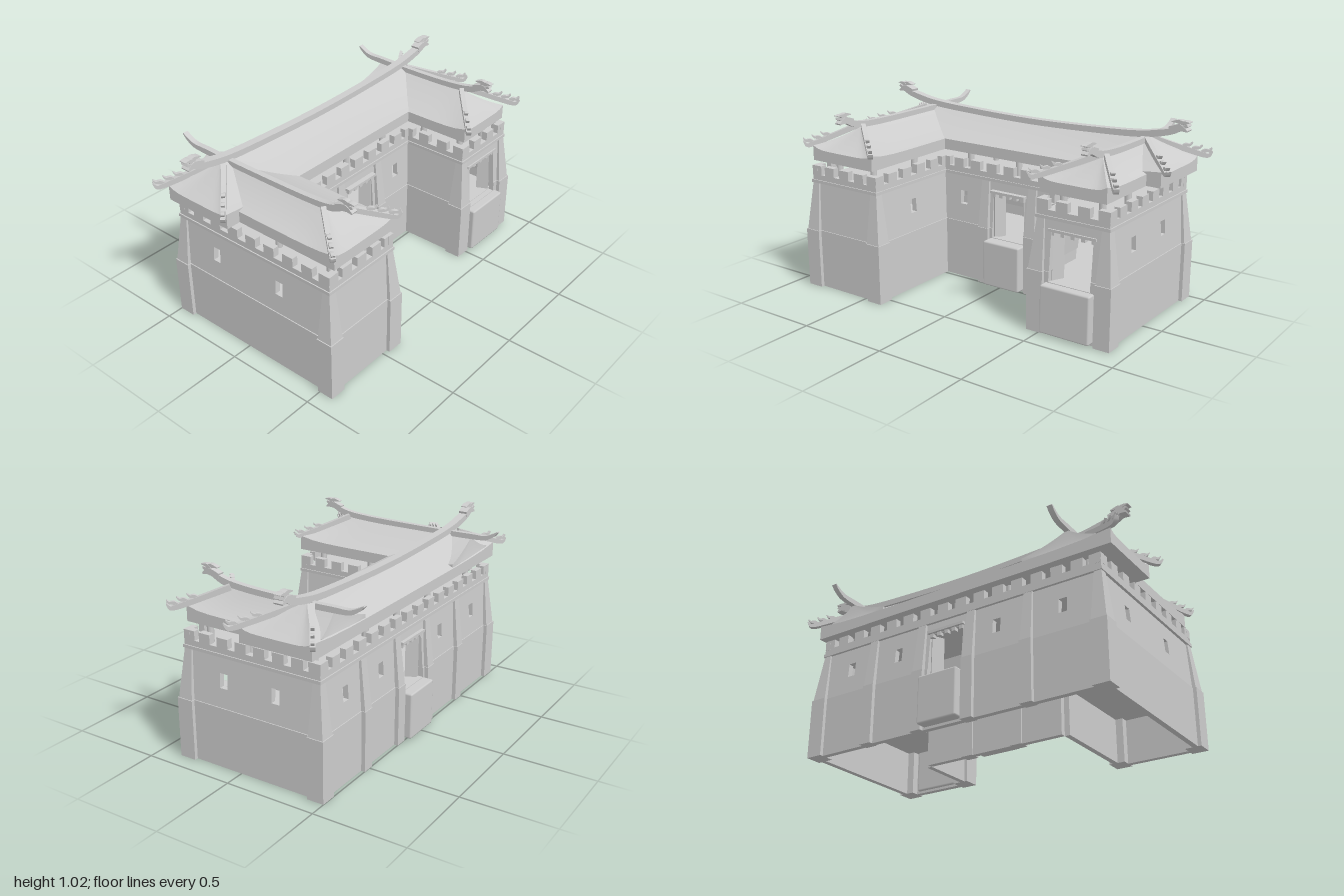
import * as THREE from 'three';
import { toCreasedNormals } from 'three/addons/utils/BufferGeometryUtils.js';
import { RoundedBoxGeometry } from 'three/addons/geometries/RoundedBoxGeometry.js';

const stone = new THREE.MeshStandardMaterial({ color: 0xcccccc });
stone.name = 'pale stone';
const V = (x, y, z) => new THREE.Vector3(x, y, z);
const lerp = THREE.MathUtils.lerp;

// U-shaped plan as [x, z] corners, inset by d
const outline = d => [
  [-0.89 + d, -0.48 + d], [0.89 - d, -0.48 + d], [0.89 - d, 0.355 - d], [0.445 + d, 0.355 - d],
  [0.445 + d, -0.02 - d], [-0.395 - d, -0.02 - d], [-0.395 - d, 0.56 - d], [-0.89 + d, 0.56 - d]];

// skin over closed rings of equal length
function loft(rows) {
  const n = rows[0].length, pos = [], idx = [];
  rows.forEach(r => r.forEach(p => pos.push(p.x, p.y, p.z)));
  for (let r = 0; r < rows.length - 1; r++) for (let i = 0; i < n; i++) {
    const j = (i + 1) % n, a = r * n + i, b = r * n + j;
    idx.push(a, a + n, b, b, a + n, b + n);
  }
  const g = new THREE.BufferGeometry();
  g.setAttribute('position', new THREE.Float32BufferAttribute(pos, 3));
  g.setIndex(idx);
  return toCreasedNormals(g, 0.6);
}

// rectangular bar of width w along points [x, y, z, height]
function sweep(pts, w, steps = 4) {
  const m = pts.length - 1, n = m * steps;
  const curve = new THREE.CatmullRomCurve3(pts.map(p => V(p[0], p[1], p[2])));
  const d = V(pts[m][0] - pts[0][0], 0, pts[m][2] - pts[0][2]).normalize();
  const side = d.cross(V(0, 1, 0)), rows = [];
  for (let k = 0; k <= n; k++) {
    const c = curve.getPoint(k / n), up = side.clone().cross(curve.getTangent(k / n)).normalize();
    const i = Math.min(m - 1, Math.floor(k / steps)), h = lerp(pts[i][3], pts[i + 1][3], k / steps - i);
    const ring = [[1, 1], [-1, 1], [-1, -1], [1, -1]].map(([s, u]) =>
      c.clone().addScaledVector(side, s * w / 2).addScaledVector(up, u * h / 2));
    if (k === 0) rows.push(ring.map(() => c));
    rows.push(ring);
    if (k === n) rows.push(ring.map(() => c));
  }
  return loft(rows);
}

// hollow or solid slab following the plan
function planSlab(d, y0, y1, inner) {
  const path = k => outline(k).map(([x, z]) => new THREE.Vector2(x, -z));
  const s = new THREE.Shape(path(d));
  if (inner) s.holes.push(new THREE.Path(path(inner)));
  return new THREE.ExtrudeGeometry(s, { depth: y1 - y0, bevelEnabled: false }).rotateX(-Math.PI / 2).translate(0, y0, 0);
}

// wall panel on plan edge i, leaning from inset d0 to d1, with windows and a door notch
function panel(i, y0, y1, d0, d1, windows, door, notchY) {
  const j = (i + 1) % 8, A = outline(0)[i], B = outline(0)[j];
  const L = Math.hypot(B[0] - A[0], B[1] - A[1]);
  const lx = V((A[0] - B[0]) / L, 0, (A[1] - B[1]) / L), n = V(-lx.z, 0, lx.x);
  const u = p => (p[0] - B[0]) * lx.x + (p[1] - B[1]) * lx.z;
  const along = c => lx.x ? (c - B[0]) * lx.x : (c - B[1]) * lx.z;
  const lo = outline(d0), hi = outline(d1);
  const notch = y => {
    if (!door) return [];
    const c = along(door[0]), h = door[1] / 2;
    return [[c - h, y], [c - h, notchY], [c + h, notchY], [c + h, y]];
  };
  const pts = [[u(lo[j]), y0], ...(notchY > y1 - 0.06 && notchY < y1 && y0 < 0.1 ? [] : notch(y0)), [u(lo[i]), y0],
    [u(hi[i]), y1], ...(y0 < 0.1 ? notch(y1).reverse() : []), [u(hi[j]), y1]];
  const s = new THREE.Shape(pts.map(p => new THREE.Vector2(p[0], p[1])));
  for (const c of windows) {
    const m = along(c), w = 0.023;
    s.holes.push(new THREE.Path([[m - w, 0.43], [m - w, 0.507], [m + w, 0.507], [m + w, 0.43]].map(p => new THREE.Vector2(...p))));
  }
  const g = new THREE.ExtrudeGeometry(s, { depth: 0.03, bevelEnabled: false }).translate(0, 0, -0.03);
  const p = g.attributes.position;
  for (let k = 0; k < p.count; k++) p.setZ(k, p.getZ(k) - lerp(d0, d1, (p.getY(k) - y0) / (y1 - y0)));
  g.applyMatrix4(new THREE.Matrix4().makeBasis(lx, V(0, 1, 0), n).setPosition(B[0], 0, B[1]));
  g.computeVertexNormals();
  return g;
}

// block between a lower and an upper rectangle [xa, xb, za, zb]
function frustum(lo, hi, y0, y1) {
  const g = new THREE.BoxGeometry(1, 1, 1), p = g.attributes.position;
  for (let k = 0; k < p.count; k++) {
    const top = p.getY(k) > 0, r = top ? hi : lo;
    const xs = [r[0], r[1]].sort((a, b) => a - b), zs = [r[2], r[3]].sort((a, b) => a - b);
    p.setXYZ(k, xs[p.getX(k) > 0 ? 1 : 0], top ? y1 : y0, zs[p.getZ(k) > 0 ? 1 : 0]);
  }
  g.computeVertexNormals();
  return g;
}

// curved hipped roof: eave rectangle e shrinking to ridge line r, with upturned corners
function roof(e, r, sag) {
  const N = 12, M = 8, ring = (t, y, lift) => {
    const q = e.map((v, k) => lerp(v, r[k], t)), c = [[q[0], q[2]], [q[1], q[2]], [q[1], q[3]], [q[0], q[3]]], out = [];
    for (let s = 0; s < 4; s++) for (let k = 0; k < N; k++) {
      const f = k / N, a = c[s], b = c[(s + 1) % 4], x = lerp(a[0], b[0], f);
      out.push(V(x, y + lift * (0.022 * (1 - t) * (2 * f - 1) ** 6 + sag * t * x * x), lerp(a[1], b[1], f)));
    }
    return out;
  };
  const rows = [ring(1, 0.725, 0), ring(0, 0.725, 0)];
  for (let k = 0; k <= M; k++) { const t = k / M; rows.push(ring(t, 0.785 + 0.11 * (0.6 * t + 0.4 * t * t), 1)); }
  return loft(rows);
}

export function createModel() {
  const root = new THREE.Group();
  const add = (name, g) => { const m = new THREE.Mesh(g, stone); m.name = name; root.add(m); return m; };
  const box = (name, w, h, d, x, y, z) => add(name, new THREE.BoxGeometry(w, h, d).translate(x, y, z));

  // walls, windows and doorways
  const windows = { 0: [-0.66, -0.28, 0.34, 0.665], 1: [0.1, -0.21], 4: [-0.28, 0.34], 5: [0.25], 7: [-0.21, 0.22] };
  const doors = { 0: [0.03, 0.21], 2: [0.665, 0.24], 4: [0.03, 0.21] };
  for (let i = 0; i < 8; i++) {
    add('baseWall', panel(i, 0, 0.328, 0, 0, [], doors[i], 0.275));
    add('upperWall', panel(i, 0.328, 0.597, 0.005, 0.025, windows[i] || [], doors[i], 0.53));
  }
  add('floor', planSlab(0.02, 0.25, 0.27));
  add('terrace', planSlab(0.01, 0.595, 0.612));
  add('parapet', planSlab(0.016, 0.61, 0.642, 0.05));

  // merlons along every edge
  const line = outline(0.033);
  line.forEach((a, i) => {
    const b = line[(i + 1) % 8], L = Math.hypot(b[0] - a[0], b[1] - a[1]), n = Math.round(L / 0.115);
    const alongX = Math.abs(b[0] - a[0]) > 0.01;
    for (let k = 0; k <= n; k++) {
      const pull = k === 0 ? 0.015 / L : k === n ? -0.015 / L : 0, f = k / n + pull;
      box('merlon', alongX ? 0.066 : 0.034, 0.055, alongX ? 0.034 : 0.066, lerp(a[0], b[0], f), 0.664, lerp(a[1], b[1], f));
    }
  });

  // corner towers, narrowing upward
  for (const [x, z, sx, sz] of [[-0.91, -0.5, 1, 1], [0.91, -0.5, -1, 1], [0.91, 0.375, -1, -1],
    [0.428, 0.375, 1, -1], [-0.375, 0.58, -1, -1], [-0.91, 0.58, 1, -1]]) {
    const rect = (o, i) => [x + sx * o, x + sx * i, z + sz * o, z + sz * i];
    add('cornerBase', frustum(rect(0, 0.092), rect(0, 0.092), 0, 0.328));
    add('cornerShaft', frustum(rect(0.005, 0.088), rect(0.036, 0.078), 0.328, 0.597));
  }
  // flat buttresses on the back and courtyard walls
  const buttress = (x, z, s) => {
    const rect = (w, o) => [x - w, x + w, z + s * o, z + s * 0.06];
    add('buttressBase', frustum(rect(0.034, 0), rect(0.034, 0), 0, 0.328));
    add('buttressShaft', frustum(rect(0.031, 0.004), rect(0.024, 0.034), 0.328, 0.597));
  };
  [-0.467, -0.125, 0.185, 0.51].forEach(x => buttress(x, -0.502, 1));
  [-0.125, 0.185].forEach(x => buttress(x, 0.002, -1));

  // door plinths, toothed lintels and splayed jambs
  for (const [x, w, z, s] of [[0.03, 0.236, 0.048, 1], [0.03, 0.236, -0.538, -1], [0.665, 0.285, 0.402, 1]]) {
    add('doorPlinth', new RoundedBoxGeometry(w, 0.258, 0.09, 1, 0.01).translate(x, 0.143, z - s * 0.045));
    box('lintel', w - 0.01, 0.014, 0.03, x, 0.54, z - s * 0.075);
    for (let k = 0; k < 5; k++) box('lintelTooth', 0.022, 0.022, 0.024, x + (k - 2) * (w - 0.05) / 4, 0.523, z - s * 0.083);
    for (const m of [-1, 1]) {
      const jamb = box('jamb', 0.012, 0.26, 0.07, 0, 0, 0);
      jamb.position.set(x + m * (w / 2 - 0.03), 0.4, z - s * 0.12);
      jamb.rotation.y = m * s * 0.45;
    }
  }

  // posts carrying the roofs
  for (const [x, z] of [[-0.76, 0.45], [-0.51, 0.45], [0.56, 0.25], [0.78, 0.25], [-0.76, 0.12], [-0.51, 0.12], [0.56, 0],
    [0.78, 0], [-0.76, -0.37], [-0.3, -0.37], [0.03, -0.37], [0.34, -0.37], [0.78, -0.37], [-0.3, -0.13], [0.03, -0.13], [0.34, -0.13]])
    add('post', new THREE.CylinderGeometry(0.018, 0.018, 0.135, 10).translate(x, 0.668, z));

  // three crossing roofs
  add('mainRoof', roof([-0.93, 0.93, -0.46, -0.05], [-0.73, 0.73, -0.295, -0.295], 0.04));
  add('rightSideRoof', roof([-0.85, -0.425, -0.455, 0.555], [-0.68, -0.68, -0.435, 0.36], 0));
  add('leftSideRoof', roof([0.475, 0.85, -0.455, 0.335], [0.715, 0.715, -0.435, 0.15], 0));

  // small curved horn: offsets [outward, up, height] from p along horizontal direction d
  const horn = (name, p, d, list, w) =>
    add(name, sweep(list.map(([o, u, h]) => [p.x + d.x * o, p.y + u, p.z + d.z * o, h]), w, 3));
  const head = (p, d, w) => {
    horn('ridgeHead', p, d, [[-0.1, -0.03, 0.03], [-0.04, -0.015, 0.035], [0.0, -0.03, 0.008]], w);
    horn('ridgeFin', p, d, [[-0.02, 0, 0.03], [-0.05, 0.014, 0.02], [-0.09, 0.01, 0.004]], w * 0.7);
    horn('ridgeBrow', p, d, [[-0.05, -0.01, 0.025], [-0.025, 0.012, 0.018], [0.01, 0.015, 0.004]], w * 0.8);
  };

  // main ridge and wing ridges
  const half = [[0.95, 1.0, 0.014], [0.88, 0.966, 0.03], [0.8, 0.944, 0.035], [0.68, 0.924, 0.034], [0.35, 0.907, 0.032]];
  add('mainRidge', sweep([...half.map(([x, y, h]) => [-x, y, -0.295, h]), [0, 0.9, -0.295, 0.032],
    ...half.slice().reverse().map(([x, y, h]) => [x, y, -0.295, h])], 0.045));
  for (const s of [-1, 1]) head(V(s * 0.95, 1.0, -0.295), V(s, 0, 0), 0.05);
  for (const [x, z] of [[-0.68, 0.53], [0.715, 0.325]]) {
    add('wingRidge', sweep([[x, 0.97, z, 0.012], [x, 0.948, z - 0.06, 0.03], [x, 0.922, z - 0.12, 0.035], [x, 0.908, z - 0.22, 0.032],
      [x, 0.9, -0.1, 0.03], [x, 0.903, -0.44, 0.03], [x, 0.908, -0.53, 0.024], [x, 0.93, -0.575, 0.016], [x, 0.95, -0.6, 0.006]], 0.03));
    head(V(x, 0.97, z), V(0, 0, 1), 0.036);
  }

  // hip ridges with curled tips and small figures
  const hip = (ax, az, bx, bz) => {
    const at = (f, y, h) => [lerp(ax, bx, f), y, lerp(az, bz, f), h];
    add('hipRidge', sweep([at(0, 0.903, 0.03), at(0.35, 0.864, 0.028), at(0.65, 0.832, 0.028),
      at(0.85, 0.812, 0.026), at(0.94, 0.808, 0.02), at(1, 0.83, 0.006)], 0.025));
    const d = V(bx - ax, 0, bz - az).normalize();
    [[0.5, 0.855], [0.66, 0.84], [0.82, 0.825]].forEach(([f, y]) => {
      const [x, , z] = at(f, 0, 0);
      horn('hipFigure', V(x, y, z), d, [[0, -0.01, 0.022], [0.02, 0.008, 0.018], [0.04, 0.008, 0.012], [0.055, 0.022, 0.004]], 0.018);
    });
  };
  for (const s of [-1, 1]) {
    hip(s * 0.73, -0.325, s * 0.99, -0.505);
    hip(s * 0.73, -0.265, s * 0.99, -0.01);
  }
  hip(-0.7, 0.36, -0.89, 0.585);
  hip(-0.66, 0.36, -0.4, 0.585);
  hip(0.735, 0.15, 0.93, 0.39);
  hip(0.695, 0.15, 0.435, 0.39);
  return root;
}
